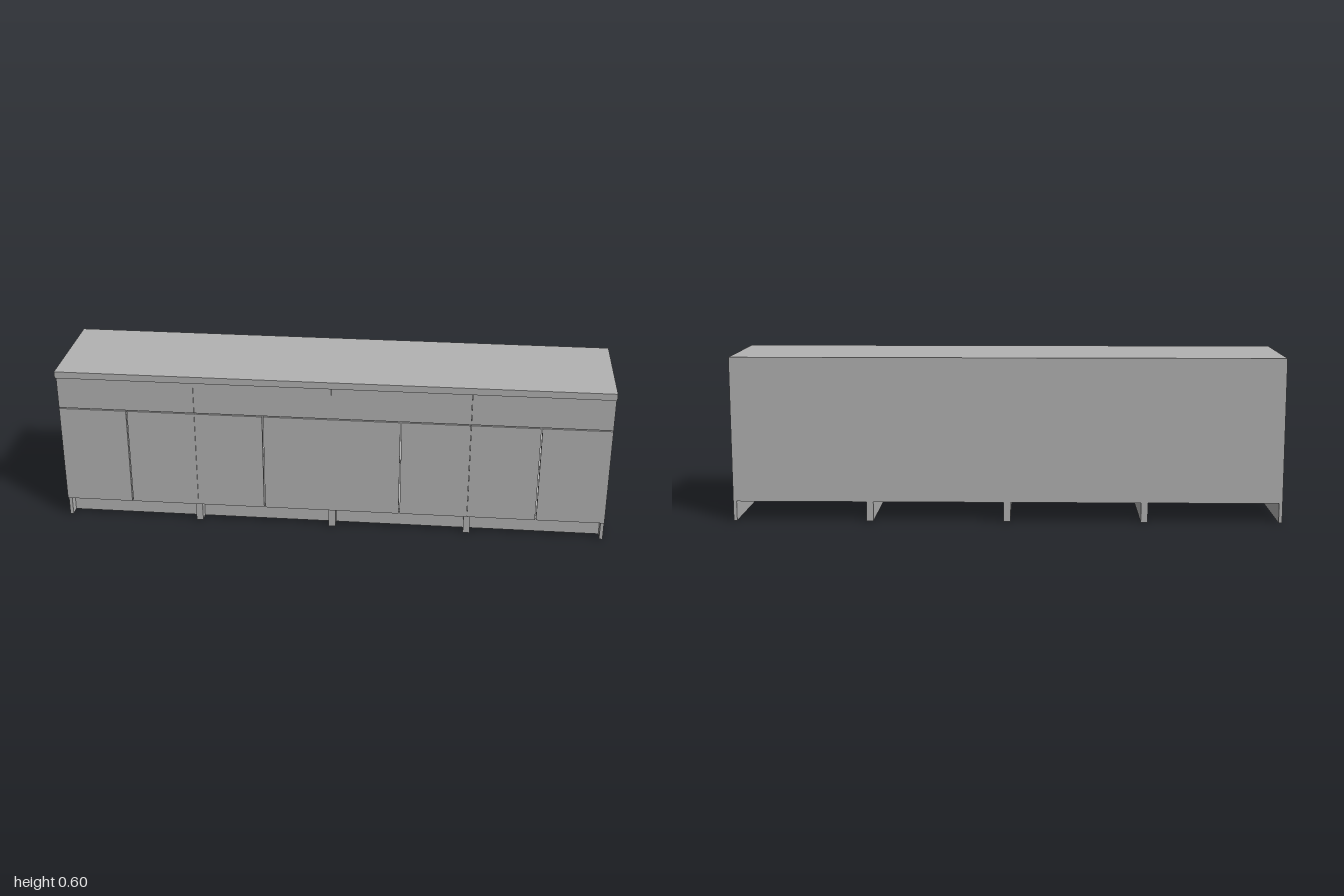
import * as THREE from 'three';

export function createModel() {
  const model = new THREE.Group();
  model.name = 'sideboard';
  const grey = new THREE.MeshStandardMaterial({ color: 0xb2b2b2 });
  grey.name = 'grey';

  // Box given by its lower and upper corners
  function panel(parent, name, [x0, y0, z0], [x1, y1, z1]) {
    const mesh = new THREE.Mesh(new THREE.BoxGeometry(x1 - x0, y1 - y0, z1 - z0), grey);
    mesh.position.set((x0 + x1) / 2, (y0 + y1) / 2, (z0 + z1) / 2);
    mesh.name = name;
    parent.add(mesh);
  }

  const width = 0.5, board = 0.0125, gap = 0.002, seam = 0.0005;
  const back = -0.206, front = 0.178, face = 0.191;
  const floor = 0.075, split = 0.45, top = 0.576;

  // Four equal cabinets side by side
  for (let i = 0; i < 4; i++) {
    const cabinet = new THREE.Group();
    cabinet.name = 'cabinet' + (i + 1);
    cabinet.position.x = -0.75 + i * width;
    model.add(cabinet);
    const w = width / 2, inner = w - board;

    // Side panels run down to the ground
    panel(cabinet, 'rightSide', [-w, 0, back], [-inner, top, front]);
    panel(cabinet, 'leftSide', [inner, 0, back], [w, top, front]);

    // Back, bottom, shelf and recessed toe kick between the sides
    panel(cabinet, 'backPanel', [-inner, floor - 0.003, back], [inner, top, back + 0.005]);
    panel(cabinet, 'bottom', [-inner, floor, back + 0.005], [inner, floor + board, front]);
    panel(cabinet, 'shelf', [-inner, 0.273, back + 0.005], [inner, 0.273 + board, front - 0.01]);
    panel(cabinet, 'topRail', [-inner, top - board, back + 0.005], [inner, top, front]);
    panel(cabinet, 'toeKick', [-inner, 0, 0.127], [inner, floor, 0.14]);

    // Two doors below one drawer front
    panel(cabinet, 'rightDoor', [-w + seam, floor, front], [-gap, split - gap, face]);
    panel(cabinet, 'leftDoor', [gap, floor, front], [w - seam, split - gap, face]);
    panel(cabinet, 'drawerFront', [-w + seam, split + gap, front], [w - seam, top - 0.003, face]);
  }

  // Worktop overhanging the fronts
  panel(model, 'worktop', [-1, top, back], [1, 0.601, 0.207]);
  return model;
}
